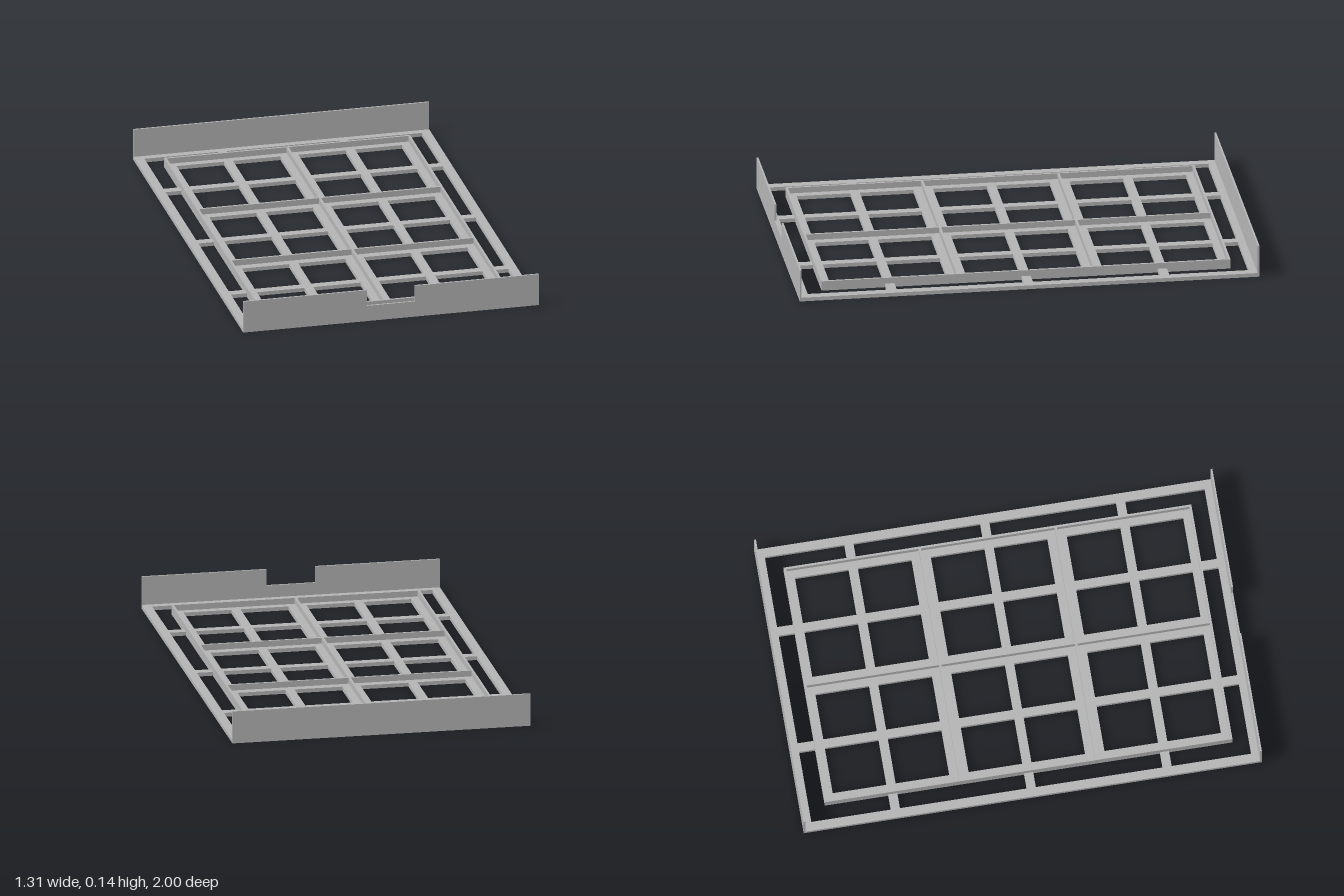
import * as THREE from 'three';

const HALF_X = 0.655, HALF_Z = 1;          // outer frame
const BORDER = 0.04, FLOOR_T = 0.017;      // frame and bar width, floor thickness
const GRID_X = 0.545, GRID_Z = 0.89;       // compartment block
const PITCH_X = 0.54, PITCH_Z = 0.593;     // compartment spacing
const RIB_H = 0.043, RIB_T = 0.01;
const WALL_H = 0.144, WALL_T = 0.008;

const rectPoints = (x0, x1, z0, z1) => [
  new THREE.Vector2(x0, z0), new THREE.Vector2(x1, z0),
  new THREE.Vector2(x1, z1), new THREE.Vector2(x0, z1),
];

export function createModel() {
  const model = new THREE.Group();
  model.name = 'tray';
  const grey = new THREE.MeshStandardMaterial({ color: 0xb4b4b4 });
  grey.name = 'grey';

  const add = (name, geometry) => {
    const mesh = new THREE.Mesh(geometry, grey);
    mesh.name = name;
    model.add(mesh);
    return mesh;
  };
  const box = (name, x0, x1, y0, y1, z0, z1) =>
    add(name, new THREE.BoxGeometry(x1 - x0, y1 - y0, z1 - z0))
      .position.set((x0 + x1) / 2, (y0 + y1) / 2, (z0 + z1) / 2);
  // Flat plate lying on y = 0, with rectangular openings
  const plate = (name, hx, hz, openings) => {
    const shape = new THREE.Shape(rectPoints(-hx, hx, -hz, hz));
    for (const o of openings) shape.holes.push(new THREE.Path(rectPoints(...o)));
    const geometry = new THREE.ExtrudeGeometry(shape, { depth: FLOOR_T, bevelEnabled: false });
    add(name, geometry.rotateX(-Math.PI / 2));
  };

  // Outer frame
  const inX = HALF_X - BORDER, inZ = HALF_Z - BORDER;
  plate('outerFrame', HALF_X, HALF_Z, [[-inX, inX, -inZ, inZ]]);

  // Compartment floor: four openings in each of the 2 x 3 compartments
  const openings = [];
  const b = BORDER / 2;
  for (const cx of [-PITCH_X / 2, PITCH_X / 2]) {
    for (const cz of [-PITCH_Z, 0, PITCH_Z]) {
      const ox = PITCH_X / 2 - 0.04, oz = PITCH_Z / 2 - 0.042;
      for (const [x0, x1] of [[-ox, -b], [b, ox]])
        for (const [z0, z1] of [[-oz, -b], [b, oz]])
          openings.push([cx + x0, cx + x1, cz + z0, cz + z1]);
    }
  }
  plate('compartmentFloor', GRID_X, GRID_Z, openings);

  // Short bars joining the floor to the frame
  for (const s of [-1, 1]) {
    for (const z of [-PITCH_Z, 0, PITCH_Z])
      box('sideBar', Math.min(s * GRID_X, s * inX), Math.max(s * GRID_X, s * inX), 0, FLOOR_T, z - b, z + b);
    for (const x of [-PITCH_X / 2, PITCH_X / 2])
      box('endBar', x - b, x + b, 0, FLOOR_T, Math.min(s * GRID_Z, s * inZ), Math.max(s * GRID_Z, s * inZ));
  }

  // Low divider ribs
  const r = RIB_T / 2;
  for (const x of [-GRID_X + r, 0, GRID_X - r])
    box('longRib', x - r, x + r, FLOOR_T, RIB_H, -GRID_Z, GRID_Z);
  for (const z of [-GRID_Z + r, -PITCH_Z / 2, PITCH_Z / 2, GRID_Z - r])
    for (const s of [-1, 1])
      box('crossRib', s < 0 ? -GRID_X + RIB_T : r, s < 0 ? -r : GRID_X - RIB_T,
        FLOOR_T, RIB_H, z - r, z + r);

  // Back wall, and front wall with a notch in its top edge
  box('backWall', -HALF_X, HALF_X, FLOOR_T, WALL_H, -HALF_Z, -HALF_Z + WALL_T);
  const outline = [
    [-HALF_X, FLOOR_T], [HALF_X, FLOOR_T], [HALF_X, WALL_H], [0.107, WALL_H],
    [0.107, 0.071], [-0.107, 0.071], [-0.107, WALL_H], [-HALF_X, WALL_H],
  ].map(([x, y]) => new THREE.Vector2(x, y));
  add('frontWall', new THREE.ExtrudeGeometry(new THREE.Shape(outline),
    { depth: WALL_T, bevelEnabled: false })).position.z = HALF_Z - WALL_T;

  return model;
}
